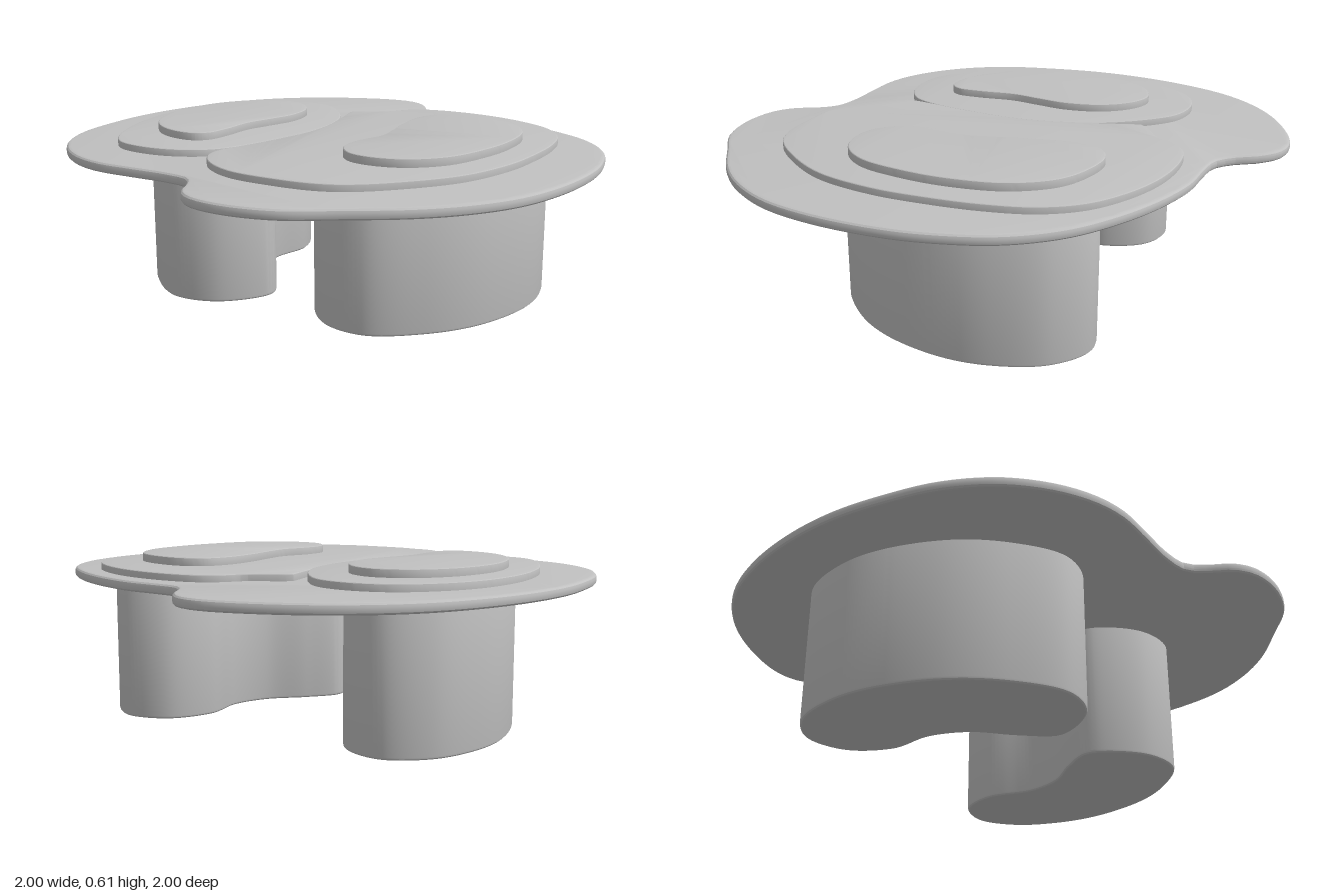
import * as THREE from 'three';
import { toCreasedNormals } from 'three/addons/utils/BufferGeometryUtils.js';

const grey = new THREE.MeshStandardMaterial({ color: 0xc0c0c0 });
grey.name = 'grey';

// Rounded slab from a closed smooth outline of [x, z] points, between heights y0 and y1
function slab(name, outline, y0, y1, bevel) {
  const curve = new THREE.CatmullRomCurve3(
    outline.map(([x, z]) => new THREE.Vector3(x, -z, 0)), true);
  const pts = curve.getSpacedPoints(160).slice(0, -1);
  const shape = new THREE.Shape(pts.map(p => new THREE.Vector2(p.x, p.y)));
  const geometry = new THREE.ExtrudeGeometry(shape, {
    depth: y1 - y0 - 2 * bevel,
    bevelEnabled: true,
    bevelThickness: bevel,
    bevelSize: bevel,
    bevelOffset: -bevel,
    bevelSegments: 3,
  });
  geometry.rotateX(-Math.PI / 2);
  geometry.translate(0, y0 + bevel, 0);
  const mesh = new THREE.Mesh(toCreasedNormals(geometry, 0.3), grey);
  mesh.name = name;
  return mesh;
}

// Free-form table top with a notch at the front and back
const topOutline = [
  [-.27, -1], [-.15, -.985], [-.07, -.92], [-.02, -.84], [.04, -.785], [.15, -.765],
  [.3, -.75], [.5, -.685], [.68, -.59], [.82, -.48], [.93, -.32], [.985, -.13],
  [1, .03], [.98, .27], [.92, .48], [.82, .64], [.7, .76], [.52, .88], [.37, .97],
  [.2, 1], [.06, .975], [-.01, .92], [-.05, .84], [-.1, .78], [-.2, .757],
  [-.35, .752], [-.5, .745], [-.62, .71], [-.75, .63], [-.87, .5], [-.95, .33],
  [-.985, .15], [-1, -.05], [-.98, -.25], [-.92, -.47], [-.82, -.67], [-.68, -.82],
  [-.5, -.93],
];

// Middle tiers, meeting along a curved seam
const rightTier = [
  [-.5, -.585], [-.36, -.555], [-.24, -.44], [-.15, -.29], [-.11, -.14], [-.1, .02],
  [-.13, .22], [-.17, .37], [-.23, .48], [-.33, .54], [-.45, .557], [-.58, .53],
  [-.66, .46], [-.73, .34], [-.8, .16], [-.835, -.07], [-.81, -.29], [-.74, -.44],
  [-.63, -.55],
];
const leftTier = [
  [-.195, -.46], [-.13, -.51], [-.06, -.555], [-.02, -.62], [.05, -.67], [.17, -.687],
  [.35, -.665], [.52, -.6], [.66, -.5], [.74, -.37], [.775, -.2], [.78, 0],
  [.765, .18], [.7, .4], [.58, .57], [.45, .69], [.35, .73], [.2, .738], [.02, .715],
  [-.12, .63], [-.185, .54], [-.195, .48], [-.18, .4], [-.14, .24], [-.11, .02],
  [-.12, -.14], [-.15, -.29], [-.19, -.44],
];

// Kidney-shaped upper tiers
const rightKidney = [
  [-.48, -.415], [-.38, -.38], [-.3, -.28], [-.275, -.14], [-.3, -.01], [-.325, .1],
  [-.32, .24], [-.33, .34], [-.37, .38], [-.45, .38], [-.56, .33], [-.66, .22],
  [-.72, .06], [-.73, -.08], [-.69, -.25], [-.6, -.37],
];
const leftKidney = [
  [.3, -.46], [.22, -.42], [.187, -.33], [.195, -.18], [.225, -.03], [.24, .08],
  [.212, .2], [.22, .32], [.29, .405], [.39, .428], [.5, .4], [.6, .3], [.655, .13],
  [.675, -.05], [.65, -.24], [.56, -.38], [.43, -.445],
];

// Kidney-shaped leg, mirrored for the other side
const rightLeg = [
  [-.14, .35], [-.11, .26], [-.19, .14], [-.3, .02], [-.345, -.12], [-.32, -.3],
  [-.4, -.455], [-.56, -.5], [-.7, -.4], [-.77, -.22], [-.775, -.04], [-.7, .2],
  [-.58, .36], [-.41, .475], [-.25, .455],
];
const leftLeg = rightLeg.map(([x, z]) => [-.02 - x, z]);

export function createModel() {
  const table = new THREE.Group();
  table.name = 'table';
  table.add(
    slab('tableTop', topOutline, .512, .55, .014),
    slab('rightMiddleTier', rightTier, .53, .576, .005),
    slab('leftMiddleTier', leftTier, .53, .575, .005),
    slab('rightUpperTier', rightKidney, .56, .605, .005),
    slab('leftUpperTier', leftKidney, .56, .605, .005),
    slab('rightLeg', rightLeg, 0, .53, .012),
    slab('leftLeg', leftLeg, 0, .53, .012),
  );
  return table;
}
